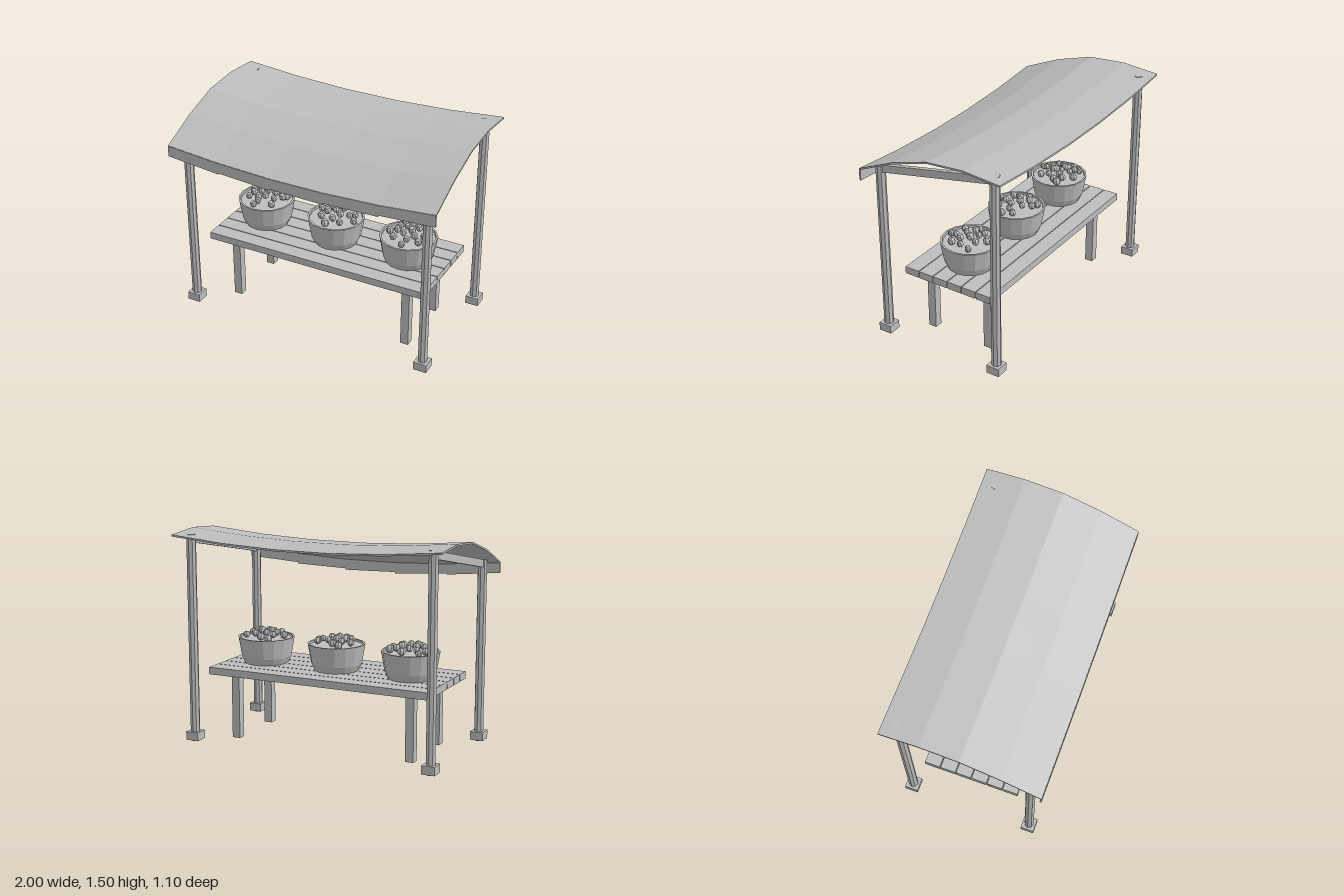
import * as THREE from 'three';

const grey = new THREE.MeshStandardMaterial({ color: 0xbdbdbd, flatShading: true });
grey.name = 'plain grey';

function add(parent, name, geometry, x = 0, y = 0, z = 0) {
  const mesh = new THREE.Mesh(geometry, grey);
  mesh.name = name;
  mesh.position.set(x, y, z);
  parent.add(mesh);
  return mesh;
}

function box(parent, name, w, h, d, x, y, z) {
  return add(parent, name, new THREE.BoxGeometry(w, h, d), x, y, z);
}

// Move every vertex of a geometry by a rule
function bend(geometry, rule) {
  const p = geometry.attributes.position;
  const v = new THREE.Vector3();
  for (let i = 0; i < p.count; i++) {
    rule(v.fromBufferAttribute(p, i));
    p.setXYZ(i, v.x, v.y, v.z);
  }
  geometry.computeVertexNormals();
  return geometry;
}

function seeded(seed) {
  return () => (seed = (seed * 16807) % 2147483647) / 2147483647;
}

const sag = x => 0.055 * (1 - x * x);

// Cloth roof: arched front to back, sagging between the posts
function addCanopy(group) {
  const arch = [1.48, 1.503, 1.483, 1.4, 1.28]; // top height, back to front
  const t = 0.012;
  const roof = new THREE.BoxGeometry(2, t, 1.1, 5, 1, 4);
  bend(roof, v => {
    const row = Math.round((v.z + 0.55) / 0.275);
    v.y += arch[row] - t / 2 - sag(v.x);
  });
  add(group, 'canopy', roof);

  // Hanging front strip in five panels with slightly uneven hems
  const hems = [[1.2, 1.16], [1.168, 1.14], [1.15, 1.14], [1.15, 1.16], [1.17, 1.193]];
  hems.forEach(([left, right], i) => {
    const x0 = -1 + i * 0.4;
    const panel = new THREE.BoxGeometry(0.4, 2, 0.012);
    bend(panel, v => {
      const end = v.x > 0;
      v.x += x0 + 0.2;
      v.y = v.y > 0 ? 1.278 - sag(v.x) : end ? right : left;
    });
    add(group, 'valance', panel, 0, 0, 0.548);
  });
}

// Posts, feet and the sloping side rails
function addFrame(group) {
  for (const x of [-0.905, 0.905]) {
    for (const [z, h] of [[0.45, 1.3], [-0.45, 1.48]]) {
      add(group, 'post', new THREE.CylinderGeometry(0.034, 0.034, h, 8), x, h / 2, z);
      box(group, 'postFoot', 0.096, 0.06, 0.096, x, 0.038, z);
    }
    const rail = new THREE.BoxGeometry(0.032, 0.054, 0.88);
    bend(rail, v => { v.y += 1.361 - v.z * 0.196; });
    add(group, 'sideRail', rail, x, 0, 0);
  }
}

// Plank table
function addTable(group) {
  for (let i = 0; i < 6; i++) {
    box(group, 'plank', 1.68, 0.052, 0.11, 0, 0.495, 0.28 - i * 0.116);
  }
  for (const x of [-0.675, 0.675]) {
    for (const z of [0.225, -0.24]) box(group, 'tableLeg', 0.06, 0.47, 0.06, x, 0.235, z);
  }
}

// Bowl with a raised rim, filled with small round fruit
function addBowl(group, x, count, seed) {
  const bowl = new THREE.Group();
  bowl.name = 'fruitBowl';
  bowl.position.set(x, 0.52, -0.01);
  group.add(bowl);
  const profile = [[0, 0], [0.158, 0], [0.18, 0.05], [0.204, 0.19], [0.19, 0.19], [0.188, 0.175], [0, 0.18]];
  add(bowl, 'bowl', new THREE.LatheGeometry(profile.map(p => new THREE.Vector2(...p)), 16));

  const random = seeded(seed);
  const fruit = new THREE.SphereGeometry(0.027, 7, 5);
  for (let i = 0; i < count; i++) {
    const r = 0.155 * Math.sqrt((i + 0.4) / count);
    const a = i * 2.4 + seed + random() * 0.5;
    const y = 0.198 + 0.033 * (1 - (r / 0.155) ** 2);
    const piece = add(bowl, 'fruit', fruit, r * Math.cos(a), y, r * Math.sin(a));
    piece.rotation.set(random() * 0.5, random() * 6, 0);
    piece.scale.setScalar(0.85 + random() * 0.25);
  }
}

export function createModel() {
  const group = new THREE.Group();
  group.name = 'marketStall';
  addCanopy(group);
  addFrame(group);
  addTable(group);
  addBowl(group, -0.567, 19, 11);
  addBowl(group, 0, 15, 23);
  addBowl(group, 0.565, 16, 37);
  return group;
}
